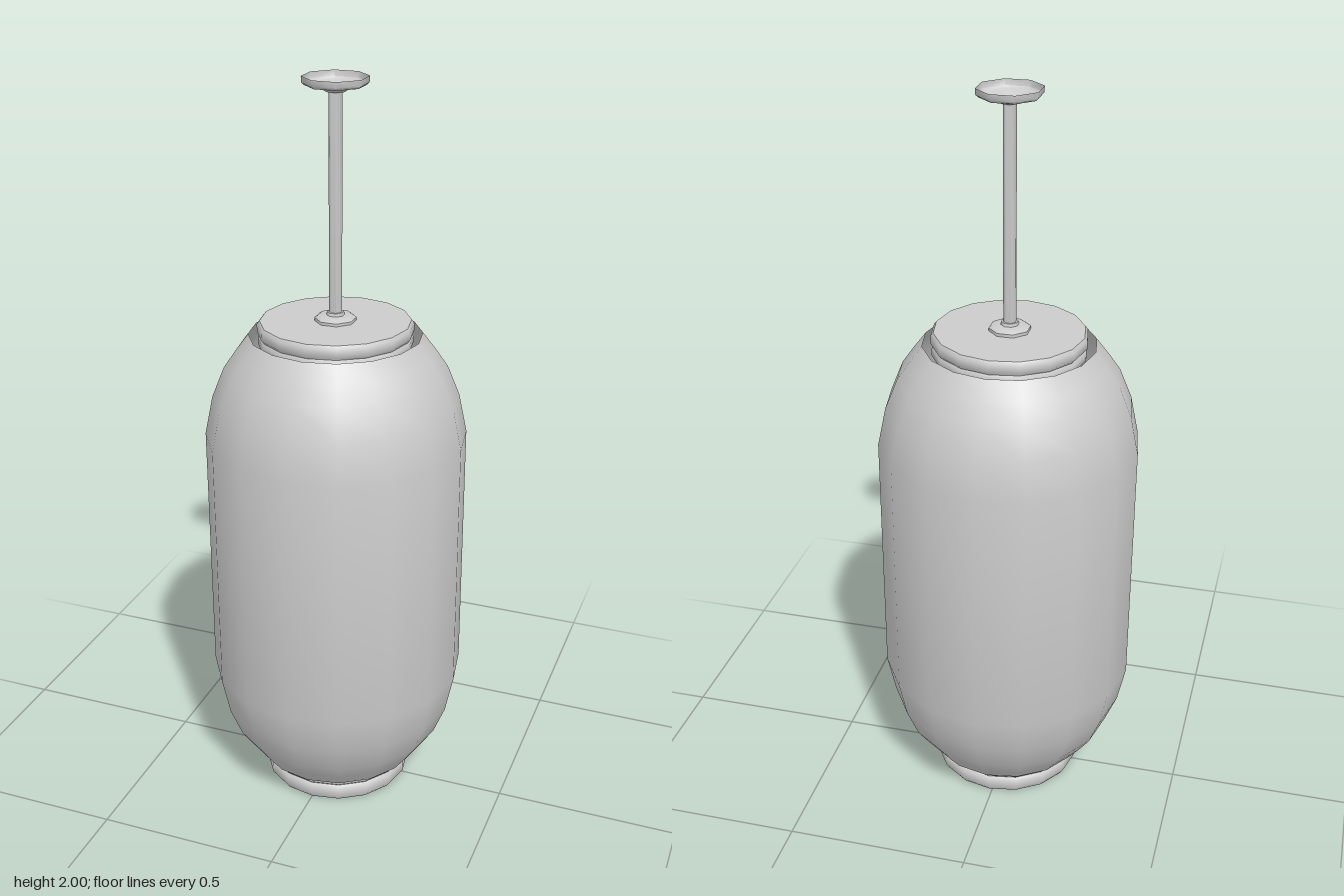
import * as THREE from 'three';
import { toCreasedNormals } from 'three/addons/utils/BufferGeometryUtils.js';

const material = new THREE.MeshStandardMaterial({ color: 0xcccccc, side: THREE.DoubleSide });

// Turned part from [radius, height] pairs, listed from bottom to top
function turned(name, profile, sides, phase, crease = 0.9) {
  const points = profile.map(([r, y]) => new THREE.Vector2(r, y));
  const geometry = toCreasedNormals(new THREE.LatheGeometry(points, sides, phase), crease);
  const mesh = new THREE.Mesh(geometry, material);
  mesh.name = name;
  return mesh;
}

export function createModel() {
  const model = new THREE.Group();
  model.name = 'pendantLantern';

  // The lantern hangs very slightly off plumb, about its middle
  const middle = 0.71;
  const lantern = new THREE.Group();
  lantern.name = 'lantern';
  lantern.position.y = middle;
  lantern.rotation.set(-0.0075, 0, 0.0075);

  // Open-ended shade: lower half profile mirrored to the upper half
  const half = [[0.228, 0.63], [0.262, 0.585], [0.295, 0.537], [0.328, 0.455], [0.35, 0.35]];
  const shadeProfile = [
    ...half.map(([r, h]) => [r, -h]),
    ...half.slice().reverse(),
  ];
  lantern.add(turned('shade', shadeProfile, 16, -0.02));

  // Closed end discs sitting inside the two openings
  const topCap = [
    [0, 1.305], [0.195, 1.305], [0.203, 1.313], [0.203, 1.33], [0.198, 1.338],
    [0.205, 1.346], [0.205, 1.367], [0.198, 1.376], [0, 1.376],
  ];
  const bottomCap = [
    [0, 0.004], [0.198, 0.004], [0.205, 0.014], [0.205, 0.042], [0.197, 0.05],
    [0.205, 0.058], [0.205, 0.07], [0.198, 0.08], [0, 0.08],
  ];
  for (const [name, profile] of [['topCap', topCap], ['bottomCap', bottomCap]]) {
    const cap = turned(name, profile, 16, -0.02);
    cap.position.y = -middle;
    lantern.add(cap);
  }
  model.add(lantern);

  // Octagonal suspension: boss on the cap, rod and open ceiling cup
  const suspension = new THREE.Group();
  suspension.name = 'suspension';
  suspension.position.set(-0.005, 0, -0.005);
  const phase = Math.PI / 8;
  suspension.add(
    turned('boss', [[0.055, 1.37], [0.055, 1.384], [0.046, 1.39], [0.024, 1.392], [0.022, 1.4], [0, 1.4]], 8, phase),
    turned('rod', [[0.017, 1.385], [0.017, 1.968], [0, 1.968]], 8, phase),
    turned('ceilingCup', [[0.017, 1.962], [0.028, 1.964], [0.036, 1.974], [0.076, 1.978], [0.083, 1.984], [0.084, 2]], 8, phase),
  );
  model.add(suspension);
  return model;
}
